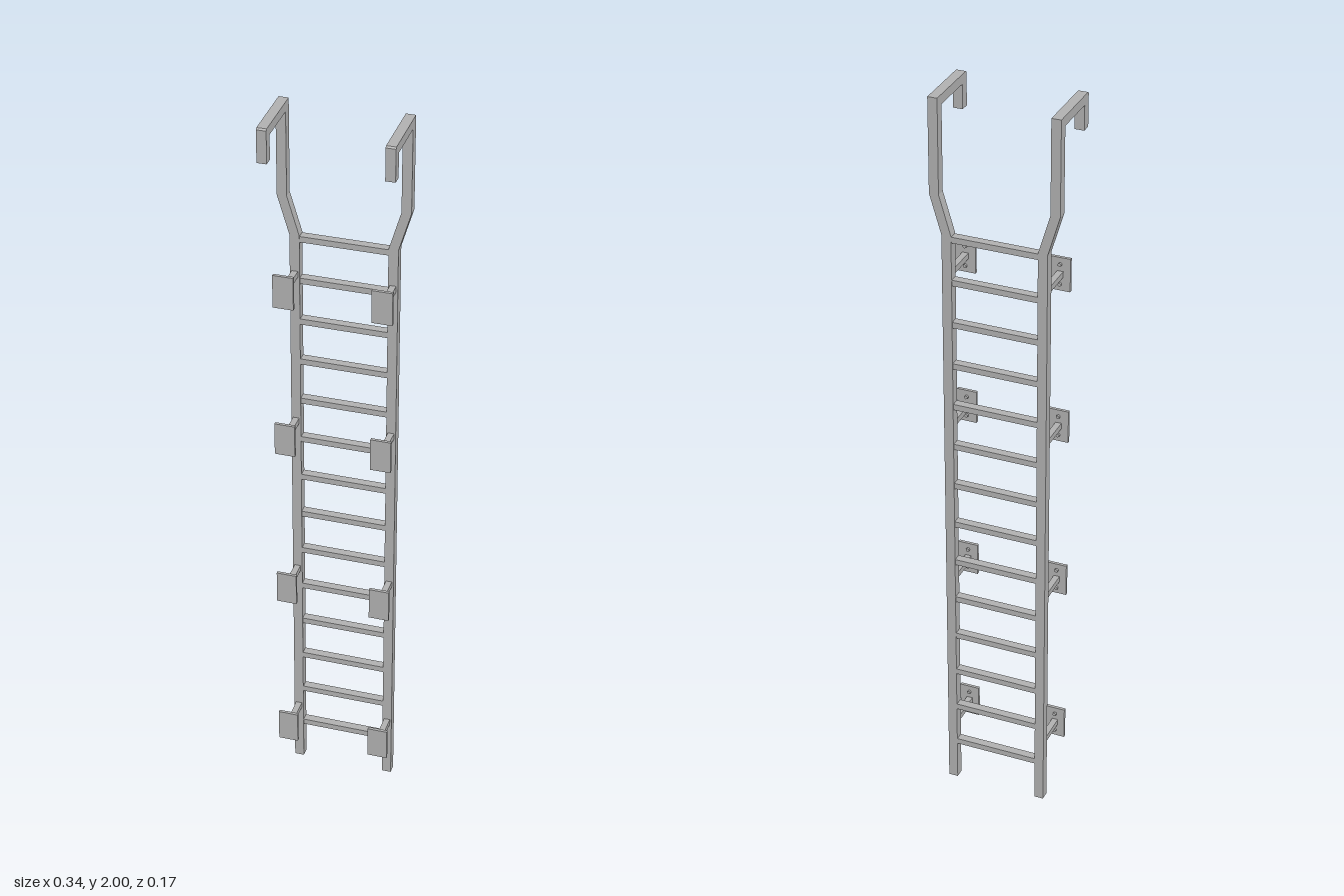
import * as THREE from 'three';

export function createModel() {
  const model = new THREE.Group();
  model.name = 'wallLadder';
  const steel = new THREE.MeshStandardMaterial({ color: 0xb0b0b0 });
  steel.name = 'galvanised steel';

  const T = 0.025; // rail thickness
  const railZ = -0.075; // centre of the rails
  const railX = 0.125, topX = 0.156;

  const add = (name, geometry, x, y, z, parent = model) => {
    const mesh = new THREE.Mesh(geometry, steel);
    mesh.name = name;
    mesh.position.set(x, y, z);
    parent.add(mesh);
    return mesh;
  };
  const extrude = (points, depth) => new THREE.ExtrudeGeometry(
    new THREE.Shape(points.map(([x, y]) => new THREE.Vector2(x, y))),
    { depth, bevelEnabled: false });

  // Hook profile, drawn as (z, y), with a small chamfer at the front corner
  const hookGeo = extrude([
    [railZ + T / 2, 2], [0.081, 2], [0.085, 1.996], [0.085, 1.91],
    [0.06, 1.91], [0.06, 1.975], [railZ + T / 2, 1.975],
  ], T);
  hookGeo.rotateY(-Math.PI / 2);
  hookGeo.translate(T / 2, 0, 0);

  const plateGeo = new THREE.BoxGeometry(0.053, 0.09, 0.008);
  const armGeo = new THREE.BoxGeometry(0.016, 0.016, 0.09);
  const boltGeo = new THREE.CylinderGeometry(0.005, 0.005, 0.006, 6);
  boltGeo.rotateX(Math.PI / 2);

  for (const [side, s] of [['left', 1], ['right', -1]]) {
    // Upright rail, splayed outward near the top
    const h = T / 2;
    const path = [[railX, 0], [railX, 1.645], [topX, 1.75], [topX, 2]];
    const outline = [
      ...path.map(([x, y]) => [s * (x + h), y]),
      ...path.reverse().map(([x, y]) => [s * (x - h), y]),
    ];
    add(side + 'Rail', extrude(outline, T), 0, 0, railZ - h);
    add(side + 'Hook', hookGeo, s * topX, 0, 0);

    // Wall brackets: arm, plate and two bolts
    for (const y of [0.177, 0.643, 1.108, 1.537]) {
      const bracket = new THREE.Group();
      bracket.name = side + 'Bracket';
      bracket.position.set(s * railX, y, 0);
      model.add(bracket);
      add('bracketArm', armGeo, 0, 0, -0.019, bracket);
      add('bracketPlate', plateGeo, 0, 0, 0.03, bracket);
      for (const dy of [-0.027, 0.027]) add('bracketBolt', boltGeo, 0, dy, 0.023, bracket);
    }
  }

  // Rungs: channels open underneath, profile drawn as (z, y)
  const w = 0.011, t = 0.003, length = 2 * railX - T;
  const rungGeo = extrude([
    [-w, -0.008], [-w + t, -0.008], [-w + t, 0.008 - t], [w - t, 0.008 - t],
    [w - t, -0.008], [w, -0.008], [w, 0.008], [-w, 0.008],
  ], length);
  rungGeo.rotateY(-Math.PI / 2);
  rungGeo.translate(length / 2, 0, 0);
  for (let i = 0; i < 14; i++) add('rung', rungGeo, 0, 0.119 + i * 0.1166, railZ);

  return model;
}
